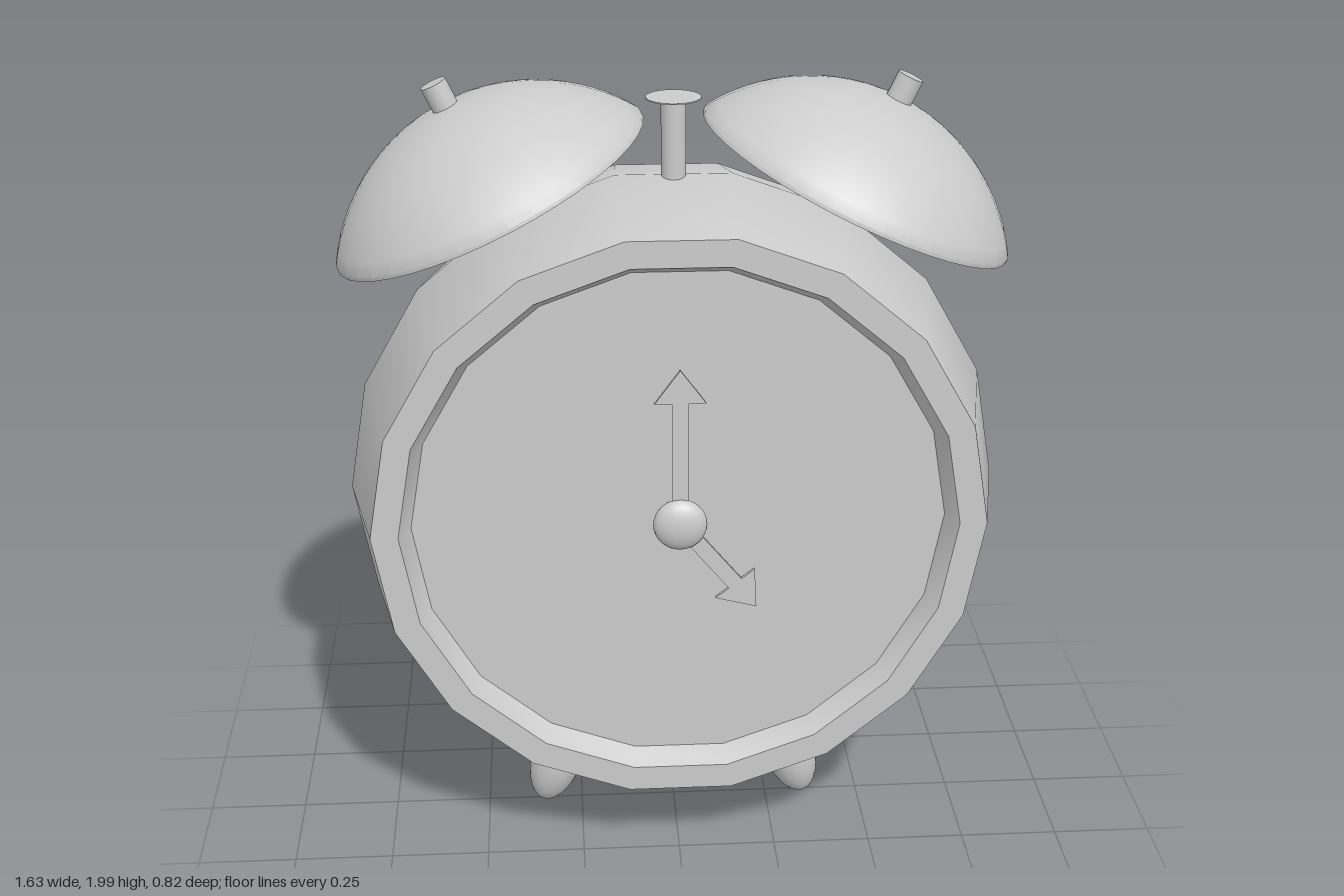
import * as THREE from 'three';
import { toCreasedNormals } from 'three/addons/utils/BufferGeometryUtils.js';

const CENTRE_Y = 0.957;
const FACE_Z = 0.248;
const TILT = THREE.MathUtils.degToRad(25);

export function createModel() {
  const root = new THREE.Group();
  const grey = new THREE.MeshStandardMaterial({ color: 0xcccccc });

  const add = (name, geometry, parent = root, x = 0, y = 0, z = 0) => {
    const mesh = new THREE.Mesh(geometry, grey);
    mesh.name = name;
    mesh.position.set(x, y, z);
    parent.add(mesh);
    return mesh;
  };
  const lathe = (pairs, segments, start = 0) => toCreasedNormals(
    new THREE.LatheGeometry(pairs.map(([r, h]) => new THREE.Vector2(r, h)), segments, start),
    THREE.MathUtils.degToRad(36));

  // Case: 18-sided barrel with a shallow domed back and a recessed dial in front
  const caseProfile = [
    [0, -0.412], [0.42, -0.412], [0.675, -0.345], [0.747, -0.303],
    [0.813, 0], [0.747, 0.304],
    [0.68, 0.304], [0.652, FACE_Z], [0, FACE_Z],
  ];
  add('case', lathe(caseProfile, 18, Math.PI / 2).rotateX(Math.PI / 2), root, 0, CENTRE_Y);

  // Thin arrow-shaped hands
  const hand = (name, length, angle) => {
    const neck = length - 0.085;
    const shape = new THREE.Shape([
      [-0.02, 0], [0.02, 0], [0.02, neck], [0.062, neck],
      [0, length], [-0.062, neck], [-0.02, neck],
    ].map(([x, y]) => new THREE.Vector2(x, y)));
    const geometry = new THREE.ExtrudeGeometry(shape, { depth: 0.008, bevelEnabled: false });
    add(name, geometry, root, 0, CENTRE_Y, FACE_Z + 0.012).rotation.z = angle;
  };
  hand('minuteHand', 0.403, 0);
  hand('hourHand', 0.3, -Math.PI + Math.atan2(0.19, 0.233));

  // Flattened button over the hand pivot
  add('handPivot', new THREE.SphereGeometry(0.066, 24, 16).scale(1, 1, 0.52), root, 0, CENTRE_Y, 0.268);

  // Hollow bell: spherical cap with a thin wall and a narrow lip below the rim
  const bellProfile = [];
  const R = 0.488, drop = 0.27, wall = 0.018, lip = 0.009, steps = 14;
  const arc = (radius, t) => {
    const a = Math.acos(drop / radius) * t;
    return [radius * Math.sin(a), radius * Math.cos(a) - drop];
  };
  for (let i = 0; i <= steps; i++) bellProfile.push(arc(R - wall, i / steps));
  bellProfile.push([arc(R - wall, 1)[0], -lip], [arc(R, 1)[0], -lip]);
  for (let i = steps; i >= 0; i--) bellProfile.push(arc(R, i / steps));
  const bellGeometry = lathe(bellProfile, 40);

  // Bells on their rods, and the feet, on both sides
  for (const [side, s] of [['left', 1], ['right', -1]]) {
    const bell = new THREE.Group();
    bell.name = side + 'BellAssembly';
    bell.position.set(s * 0.443, 1.734, 0);
    bell.rotation.z = -s * TILT;
    root.add(bell);
    add(side + 'Bell', bellGeometry, bell);
    add(side + 'BellRod', new THREE.CylinderGeometry(0.032, 0.032, 0.528, 20), bell, 0, 0.014);

    const foot = add(side + 'Foot', new THREE.SphereGeometry(0.07, 24, 18).scale(1, 2.15, 1),
      root, s * 0.31, 0.15, 0);
    foot.rotation.z = s * THREE.MathUtils.degToRad(17);
  }

  // Hammer post with a thin disc on top
  add('hammerPost', new THREE.CylinderGeometry(0.03, 0.03, 0.24, 20), root, 0, 1.823);
  add('hammerDisc', new THREE.CylinderGeometry(0.066, 0.066, 0.003, 28), root, 0, 1.944);

  return root;
}
